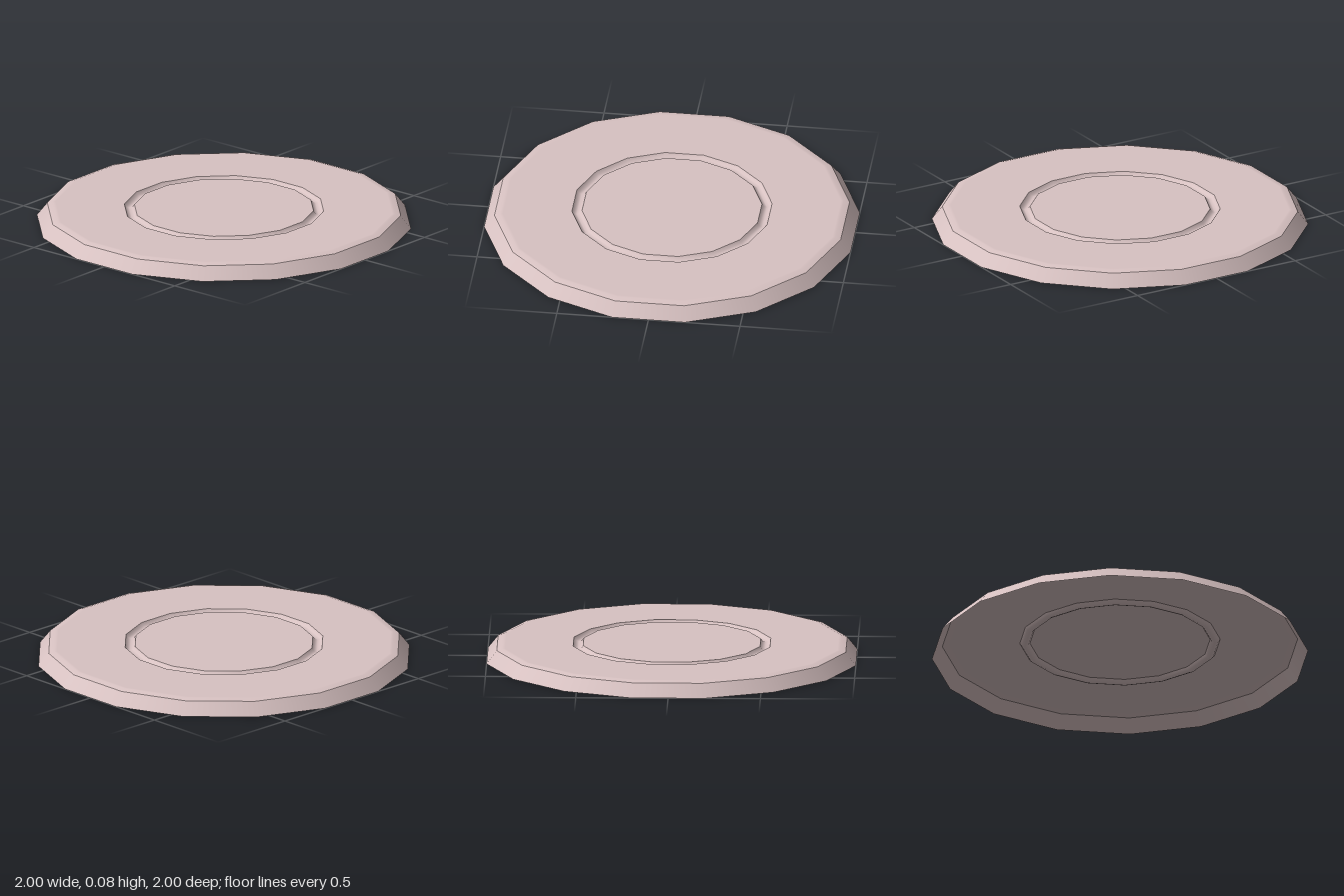
import * as THREE from 'three';

const SIDES = 16;

// One hard-edged section of the dish: a profile of [distance to flat side, height] turned in 16 sides
function addRing(group, name, profile, material) {
  const toCorner = 1 / Math.cos(Math.PI / SIDES);
  const points = profile.map(([r, y]) => new THREE.Vector2(r * toCorner, y));
  const mesh = new THREE.Mesh(
    new THREE.LatheGeometry(points, SIDES, Math.PI / SIDES, Math.PI * 2), material);
  mesh.name = name;
  group.add(mesh);
}

export function createModel() {
  const group = new THREE.Group();
  group.name = 'shallowDish';
  const material = new THREE.MeshStandardMaterial({ color: 0xd8c2c2, side: THREE.DoubleSide });

  // Sloping outer rim, open underneath
  addRing(group, 'slopingRim', [[1, 0], [0.945, 0.071]], material);

  // Flat top with a soft bevel along its outer edge
  addRing(group, 'topPlate', [[0.945, 0.071], [0.915, 0.08], [0.9, 0.08], [0.533, 0.08]], material);

  // Rounded groove pressed into the sheet, showing as a ridge below
  addRing(group, 'groove',
    [[0.533, 0.08], [0.522, 0.064], [0.506, 0.058], [0.49, 0.064], [0.479, 0.08]], material);

  // Level centre
  addRing(group, 'centreDisc', [[0.479, 0.08], [0, 0.08]], material);

  return group;
}
